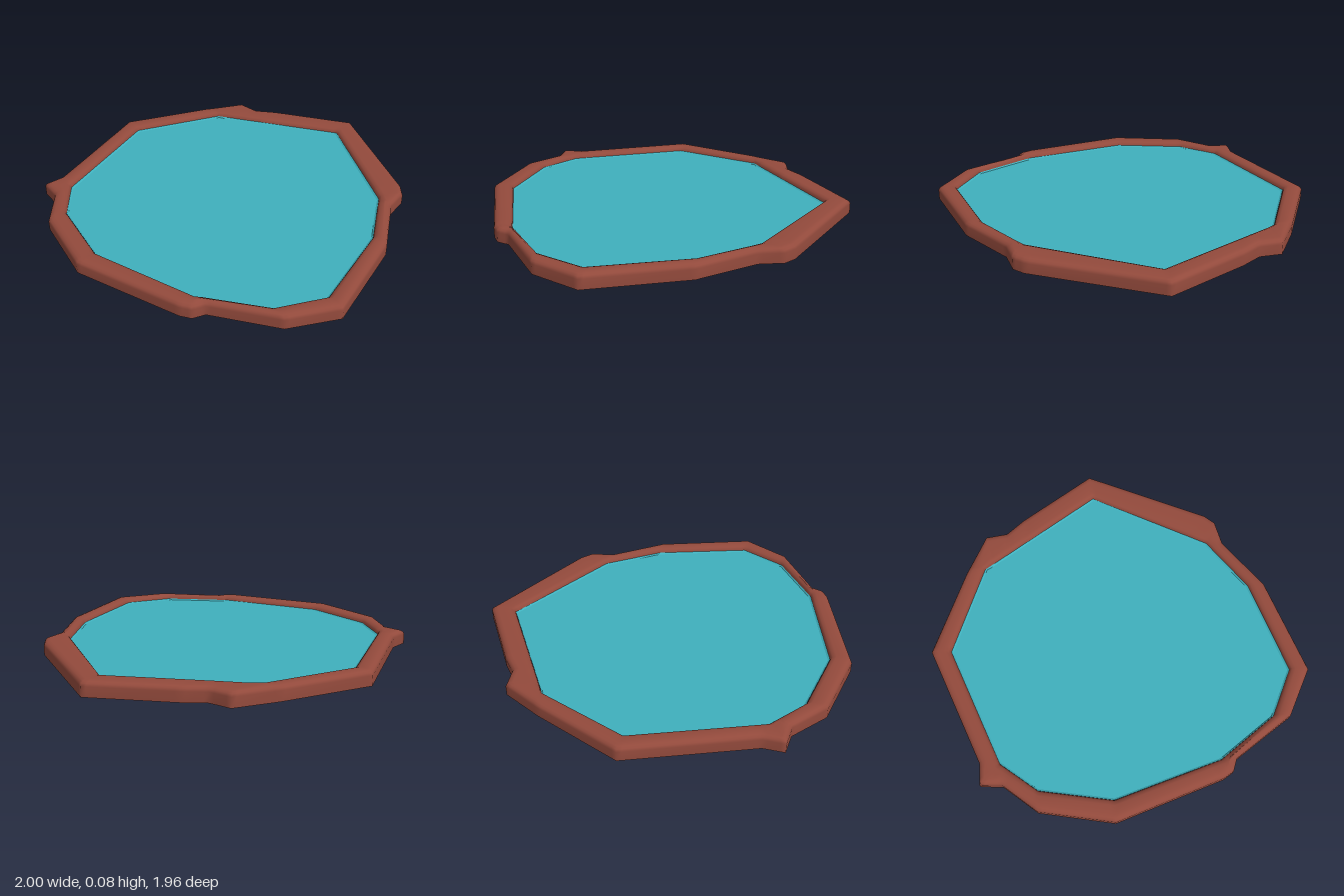
import * as THREE from 'three';

// Corners of the bank, clockwise from the back: [outerX, outerZ, innerX, innerZ]
const CORNERS = [
  [-0.15, -0.985, -0.13, -0.85], [0.5, -0.725, 0.44, -0.583], [0.555, -0.68, 0.5, -0.555],
  [0.59, -0.555, 0.53, -0.518], [0.805, -0.295, 0.715, -0.29], [1, 0.195, 0.9, 0.195],
  [0.885, 0.445, 0.795, 0.445], [0.59, 0.665, 0.53, 0.654], [0.57, 0.73, 0.51, 0.67],
  [0.52, 0.765, 0.45, 0.691], [-0.035, 0.975, -0.04, 0.865], [-0.425, 0.915, -0.425, 0.81],
  [-0.605, 0.78, -0.585, 0.695], [-0.72, 0.775, -0.62, 0.67], [-0.725, 0.665, -0.635, 0.637],
  [-1, 0.06, -0.895, 0.06], [-0.83, -0.4, -0.73, -0.42], [-0.73, -0.615, -0.68, -0.456],
  [-0.615, -0.635, -0.59, -0.52], [-0.52, -0.72, -0.5, -0.585],
];

// Adds a support station just before and after each corner, so smoothing stays local.
function stations() {
  const out = [];
  const n = CORNERS.length;
  const toward = (a, b) => {
    const t = Math.min(0.3, 0.025 / Math.hypot(b[0] - a[0], b[1] - a[1]));
    return a.map((v, i) => v + (b[i] - v) * t);
  };
  CORNERS.forEach((c, i) => {
    out.push(toward(c, CORNERS[(i + n - 1) % n]), c, toward(c, CORNERS[(i + 1) % n]));
  });
  return out.map(([ox, oz, ix, iz]) => ({
    outer: new THREE.Vector2(ox, oz),
    inner: new THREE.Vector2(ix, iz),
    dir: new THREE.Vector2(ix - ox, iz - oz).normalize(),
  }));
}

// Sweeps a profile of [edge, inward offset, height] around the closed outline.
function sweep(ring, profile) {
  const pos = [], index = [];
  const m = profile.length;
  ring.forEach((s, j) => {
    const next = (j + 1) % ring.length;
    profile.forEach(([edge, d, y], k) => {
      const p = s[edge].clone().addScaledVector(s.dir, d);
      pos.push(p.x, y, p.y);
      if (k === m - 1) return;
      const a = j * m + k, b = next * m + k;
      index.push(a, a + 1, b, b, a + 1, b + 1);
    });
  });
  const g = new THREE.BufferGeometry();
  g.setAttribute('position', new THREE.Float32BufferAttribute(pos, 3));
  g.setIndex(index);
  g.computeVertexNormals();
  return g;
}

export function createModel() {
  const group = new THREE.Group();
  group.name = 'pond';
  const ring = stations();
  const earth = new THREE.MeshStandardMaterial({ color: 0x934a3c, side: THREE.DoubleSide });
  const blue = new THREE.MeshStandardMaterial({ color: 0x3fb0bd, side: THREE.DoubleSide });
  const add = (name, geometry, material) => {
    const mesh = new THREE.Mesh(geometry, material);
    mesh.name = name;
    group.add(mesh);
  };

  // Hollow bank: outer wall, rounded shoulder, flat top and lip down to the water
  add('bank', sweep(ring, [
    ['outer', 0, 0], ['outer', 0, 0.052], ['outer', 0.006, 0.065], ['outer', 0.018, 0.073],
    ['outer', 0.036, 0.078], ['inner', -0.03, 0.078], ['inner', -0.012, 0.071],
    ['inner', -0.004, 0.062], ['inner', 0, 0.05],
  ]), earth);

  // Thin raised margin where the water meets the bank
  add('waterEdge', sweep(ring, [['inner', 0, 0.053], ['inner', 0.01, 0.047]]), blue);

  // Flat water surface
  const outline = ring.map((s) => {
    const p = s.inner.clone().addScaledVector(s.dir, 0.01);
    return new THREE.Vector2(p.x, -p.y);
  });
  const water = new THREE.ShapeGeometry(new THREE.Shape(outline));
  water.rotateX(-Math.PI / 2).translate(0, 0.047, 0);
  add('water', water, blue);

  return group;
}
